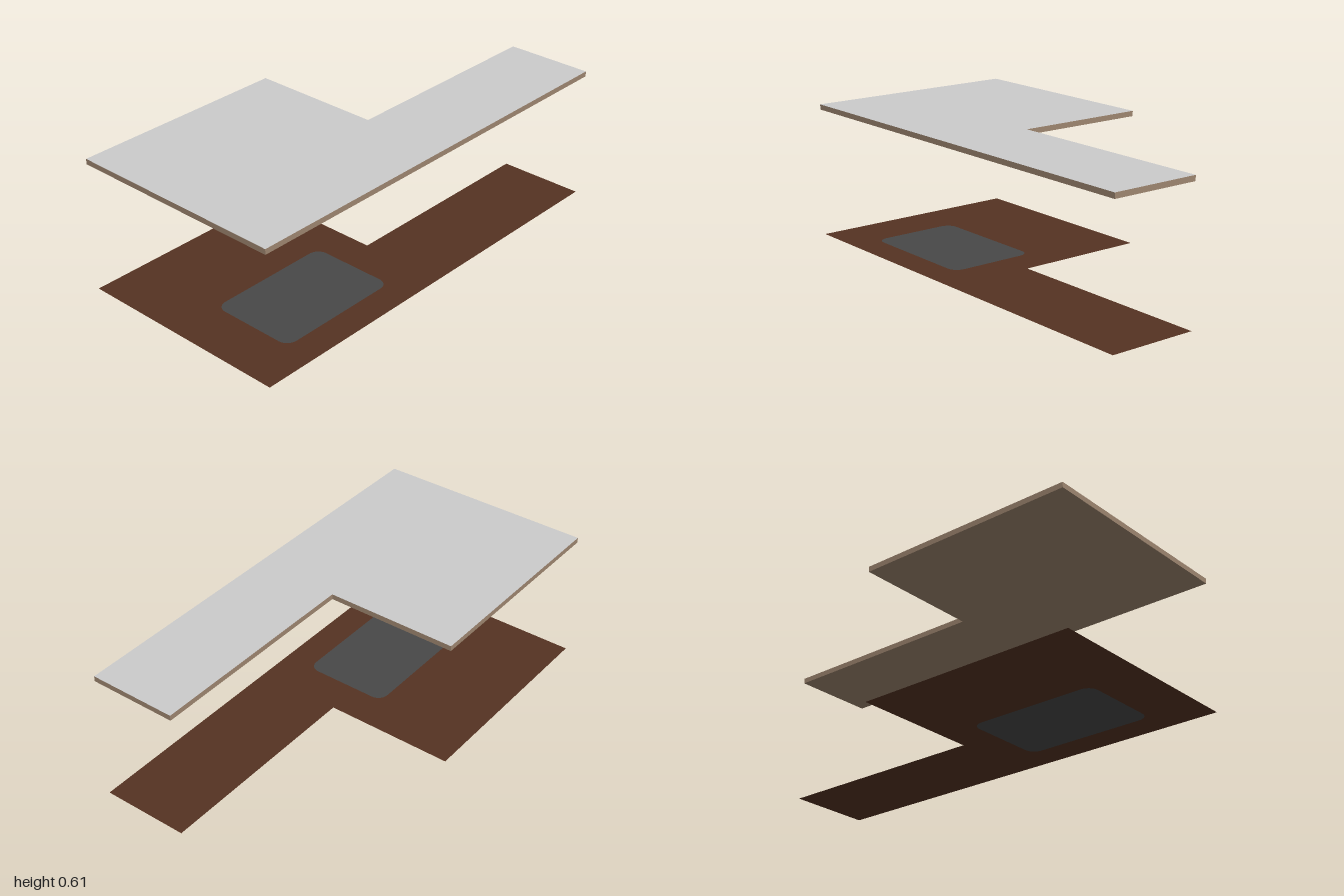
import * as THREE from 'three';

const SLAB_BOTTOM = 0.588;
const SLAB_THICKNESS = 0.024;

function material(name, hex, side = THREE.FrontSide) {
  const m = new THREE.MeshStandardMaterial({ color: hex, side });
  m.name = name;
  return m;
}

// L-shaped plan, drawn in x and -z
function planShape() {
  const corners = [[-1, -0.5], [1, -0.5], [1, -0.1], [0, -0.1], [0, 0.5], [-1, 0.5]];
  return new THREE.Shape(corners.map(([x, y]) => new THREE.Vector2(x, y)));
}

// Rounded rectangle, drawn in x and -z
function roundedRect(x0, y0, x1, y1, r) {
  const s = new THREE.Shape();
  s.absarc(x1 - r, y0 + r, r, -Math.PI / 2, 0);
  s.absarc(x1 - r, y1 - r, r, 0, Math.PI / 2);
  s.absarc(x0 + r, y1 - r, r, Math.PI / 2, Math.PI);
  s.absarc(x0 + r, y0 + r, r, Math.PI, Math.PI * 1.5);
  s.closePath();
  return s;
}

function addPart(group, name, geometry, mat, y) {
  geometry.rotateX(-Math.PI / 2);
  const mesh = new THREE.Mesh(geometry, mat);
  mesh.name = name;
  mesh.position.y = y;
  group.add(mesh);
}

export function createModel() {
  const group = new THREE.Group();
  group.name = 'slabOverFloor';

  const paleGrey = material('pale grey top', 0xcccccc);
  const tan = material('tan edge', 0x9e8670);
  const brown = material('brown floor', 0x553322, THREE.DoubleSide);
  const darkGrey = material('dark grey panel', 0x484848, THREE.DoubleSide);

  // Upper slab: tan underside and edges, pale grey top
  const slab = new THREE.ExtrudeGeometry(planShape(), { depth: SLAB_THICKNESS, bevelEnabled: false });
  const [caps, sides] = slab.groups;
  const half = caps.count / 2;
  slab.clearGroups();
  slab.addGroup(0, half, 0);
  slab.addGroup(half, half, 1);
  slab.addGroup(sides.start, sides.count, 0);
  addPart(group, 'upperSlab', slab, [tan, paleGrey], SLAB_BOTTOM);

  // Flat floor with a rounded panel set flush into it
  const panel = roundedRect(-0.765, -0.365, -0.165, 0.04, 0.05);
  const floor = planShape();
  floor.holes.push(panel);
  addPart(group, 'floor', new THREE.ShapeGeometry(floor, 8), brown, 0);
  addPart(group, 'floorPanel', new THREE.ShapeGeometry(panel, 8), darkGrey, 0);

  return group;
}
